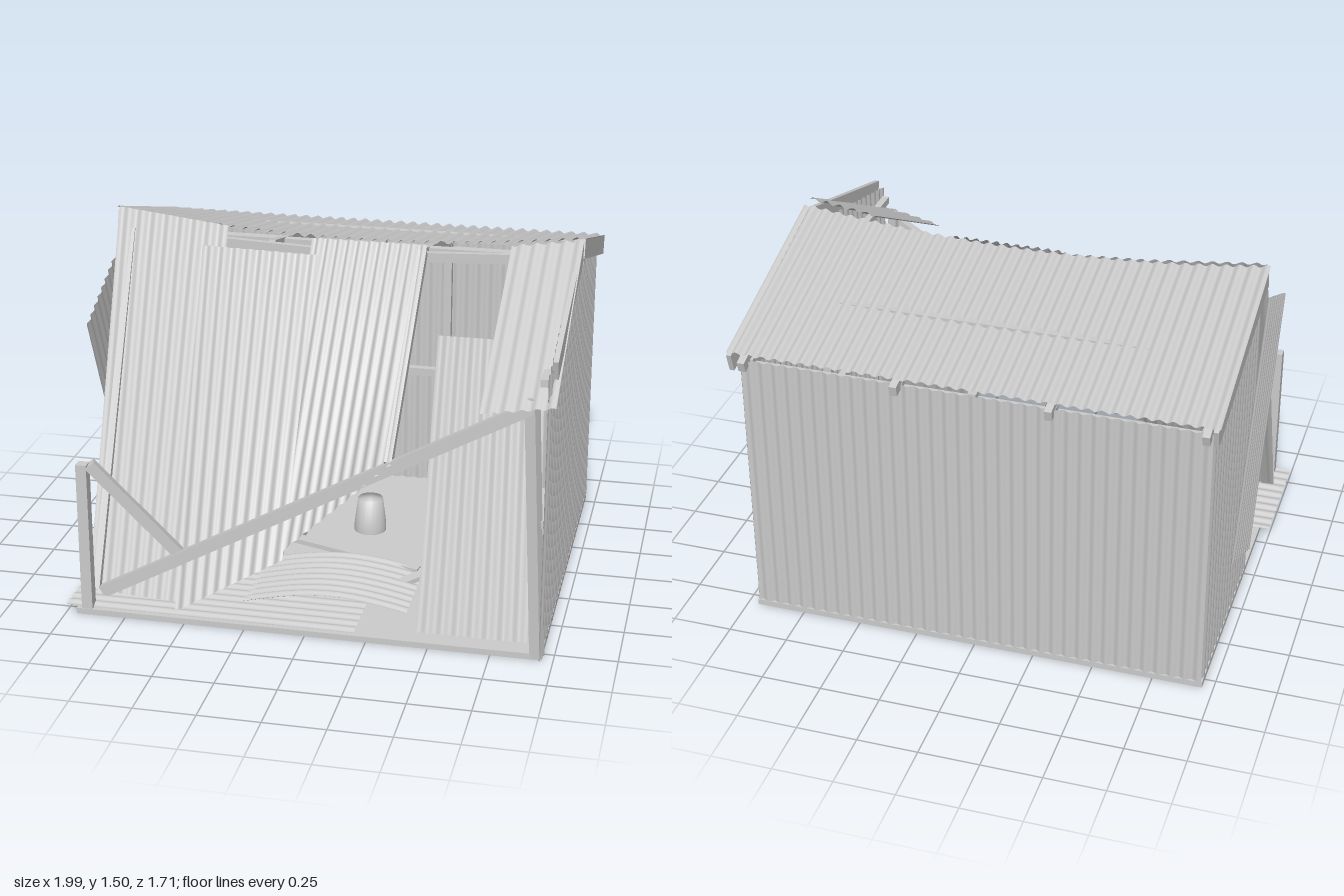
import * as THREE from 'three';

const metal = new THREE.MeshStandardMaterial({ color: 0xcccccc, side: THREE.DoubleSide });
const solid = new THREE.MeshStandardMaterial({ color: 0xcccccc });
const V = (p) => new THREE.Vector3(...p);

export function createModel() {
  const model = new THREE.Group();

  const add = (name, geometry, material = solid) => {
    const mesh = new THREE.Mesh(geometry, material);
    mesh.name = name;
    model.add(mesh);
    return mesh;
  };

  // Square timber from p to q
  const beam = (name, p, q, w = 0.04, h = w) => {
    const a = V(p), b = V(q);
    const mesh = add(name, new THREE.BoxGeometry(w, h, a.distanceTo(b)));
    mesh.position.copy(a).add(b).multiplyScalar(0.5);
    mesh.lookAt(b);
    return mesh;
  };

  // Corrugated sheet between top edge a-b and bottom edge c-d; the waves run along each edge
  const sheet = (name, a, b, c, d, amp = 0.006, bend = () => 0, rows = 8) => {
    const [A, B, C, D] = [a, b, c, d].map(V);
    const width = (A.distanceTo(B) + C.distanceTo(D)) / 2;
    const waves = Math.max(2, Math.round(width / 0.055));
    const normal = B.clone().sub(C).cross(D.clone().sub(A)).normalize();
    const geometry = new THREE.PlaneGeometry(1, 1, waves * 8, rows);
    const pos = geometry.attributes.position;
    for (let i = 0; i < pos.count; i++) {
      const u = pos.getX(i) + 0.5, v = 0.5 - pos.getY(i);
      const p = A.clone().lerp(B, u).lerp(C.clone().lerp(D, u), v);
      p.addScaledVector(normal, amp * Math.sin(u * waves * Math.PI * 2));
      p.y += bend(u, v);
      pos.setXYZ(i, p.x, p.y, p.z);
    }
    geometry.computeVertexNormals();
    return add(name, geometry, metal);
  };

  // Floor slab
  add('floor', new THREE.BoxGeometry(1.91, 0.025, 1.61)).position.y = 0.0225;

  // Standing walls
  sheet('backWall', [0.95, 1.2, -0.8], [-0.95, 1.2, -0.8], [0.95, 0.01, -0.8], [-0.95, 0.01, -0.8]);
  sheet('leftWallFront', [0.95, 1.2, 0.82], [0.95, 1.41, 0], [0.95, 0.01, 0.82], [0.95, 0.01, 0]);
  sheet('leftWallBack', [0.95, 1.41, 0], [0.95, 1.2, -0.8], [0.95, 0.01, 0], [0.95, 0.01, -0.8]);
  sheet('rightWallBack', [-0.95, 1.2, -0.8], [-0.95, 1.41, 0.02], [-0.95, 0.01, -0.8], [-0.95, 0.01, 0.02]);

  // Back roof slope, sagging along the ridge
  const sag = (u, v) => -0.07 * (1 - (2 * u - 1) ** 2) * (1 - v);
  sheet('backRoof', [0.985, 1.495, 0], [-0.985, 1.505, 0], [0.985, 1.255, -0.85], [-0.985, 1.255, -0.85], 0.007, sag);

  // Barge boards
  for (const x of [-0.97, 0.97]) beam('bargeBoard', [x, 1.45, 0], [x, 1.21, -0.85], 0.02, 0.08);
  beam('bargeBoard', [0.965, 1.44, 0], [0.965, 1.21, 0.77], 0.02, 0.08);

  // Purlins and rafters under the back roof
  for (const [y, z] of [[1.34, -0.19], [1.32, -0.47], [1.245, -0.75]])
    beam('purlin', [-0.96, y, z], [0.96, y, z], 0.035);
  for (const x of [-0.93, -0.32, 0.3, 0.93]) {
    const drop = 0.07 * (1 - x * x);
    beam('rafter', [x, 1.44 - drop, -0.01], [x, 1.19, -0.84], 0.03, 0.045);
  }
  for (const x of [-0.94, 0.94]) beam('ridgeBeam', [x, 1.4, 0], [0, 1.36, 0], 0.025, 0.04);
  beam('ridgeBeamEnd', [0.93, 1.39, 0.01], [0.97, 1.39, 0.01], 0.03);

  // Wall framing
  for (const x of [-0.92, -0.32, 0, 0.3, 0.92]) beam('backStud', [x, 0.03, -0.77], [x, 1.2, -0.77], 0.035);
  for (const y of [0.58, 1.16]) {
    beam('backRail', [-0.93, y, -0.77], [0.93, y, -0.77], 0.035);
    beam('leftRail', [0.925, y, -0.78], [0.925, y, 0.78], 0.03);
    beam('rightRail', [-0.925, y, -0.78], [-0.925, y, 0], 0.03);
  }
  for (const x of [-0.92, 0.92]) beam('middlePost', [x, 0.03, 0], [x, 1.4, 0], 0.035);

  // Broken front frame
  beam('frontPost', [0.935, 0.02, 0.79], [0.88, 1.1, 0.77], 0.045);
  beam('brokenPost', [-0.91, 0.02, 0.78], [-0.91, 0.67, 0.78], 0.045);
  beam('fallenBrace', [-0.88, 0.67, 0.78], [-0.52, 0.22, 0.66], 0.045);
  beam('fallenEaveBeam', [-0.88, 0.06, 0.68], [0.88, 1.06, 0.78], 0.035, 0.05);
  beam('fallenRafter', [-0.91, 1.42, 0.02], [-0.91, 0.06, 0.67], 0.03, 0.04);
  beam('fallenRafter', [0.325, 1.4, 0.02], [0.325, 0.76, 0.74], 0.03, 0.04);

  // Collapsed front roof, twisted down onto the fallen eave beam
  sheet('collapsedRoofRight', [-0.97, 1.51, 0.005], [-0.5, 1.455, 0.005], [-0.95, 0.05, 0.66], [-0.5, 0.05, 0.7]);
  sheet('collapsedRoofMiddle', [-0.14, 1.43, 0.02], [0.34, 1.43, 0.02], [-0.2, 0.25, 0.72], [0.34, 0.77, 0.77]);
  sheet('looseRoofSheet', [-0.58, 1.4, 0.12], [-0.1, 1.38, 0.09], [-0.55, 0.04, 0.76], [-0.09, 0.33, 0.79]);
  sheet('hangingRoofSheet', [0.69, 1.46, 0.05], [0.98, 1.5, 0.05], [0.69, 1.04, 0.83], [0.98, 1.09, 0.85]);

  // Loose wall sheets
  sheet('slippedSideSheet', [-0.972, 1.32, 0.08], [-0.972, 1.14, 0.47], [-0.965, 0.31, -0.36], [-0.965, 0.13, 0.02], 0.005);
  sheet('leaningSheet', [0.44, 1.15, 0.31], [0.87, 1.15, 0.31], [0.44, 0.04, 0.73], [0.93, 0.04, 0.73]);

  // Sheets lying on the floor
  sheet('floorSheet', [-1, 0.045, 0.8], [-1, 0.045, 0.31], [0.2, 0.045, 0.8], [0.2, 0.045, 0.31], 0.005);
  sheet('bowedSheet', [-0.3, 0.045, 0.62], [-0.3, 0.045, 0.2], [0.38, 0.06, 0.62], [0.38, 0.06, 0.2], 0.005,
    (u, v) => 0.05 * Math.sin(v * Math.PI), 12);

  // Timber debris
  beam('debrisBlock', [-0.42, 0.1, -0.05], [-0.19, 0.1, 0], 0.07, 0.08);
  beam('debrisBlock', [-0.45, 0.08, 0.12], [-0.25, 0.08, 0.2], 0.06, 0.08);
  beam('debrisPlank', [-0.2, 0.1, 0.1], [0.36, 0.065, 0.22], 0.05, 0.02);
  beam('debrisPlank', [-0.7, 0.12, -0.1], [-0.36, 0.05, 0.35], 0.04, 0.03);
  beam('debrisPlank', [0.25, 0.05, 0.4], [0.52, 0.11, 0.2], 0.05, 0.02);

  // Bucket and basin
  const vessel = (name, profile, x, z) => {
    const points = profile.map(([r, y]) => new THREE.Vector2(r, y));
    add(name, new THREE.LatheGeometry(points, 24), metal).position.set(x, 0.035, z);
  };
  vessel('bucket', [[0, 0.15], [0.055, 0.15], [0.07, 0.03], [0.07, 0]], 0.065, -0.2);
  vessel('basin', [[0, 0.01], [0.06, 0.01], [0.1, 0.03], [0.12, 0.07]], -0.62, 0.1);

  return model;
}
